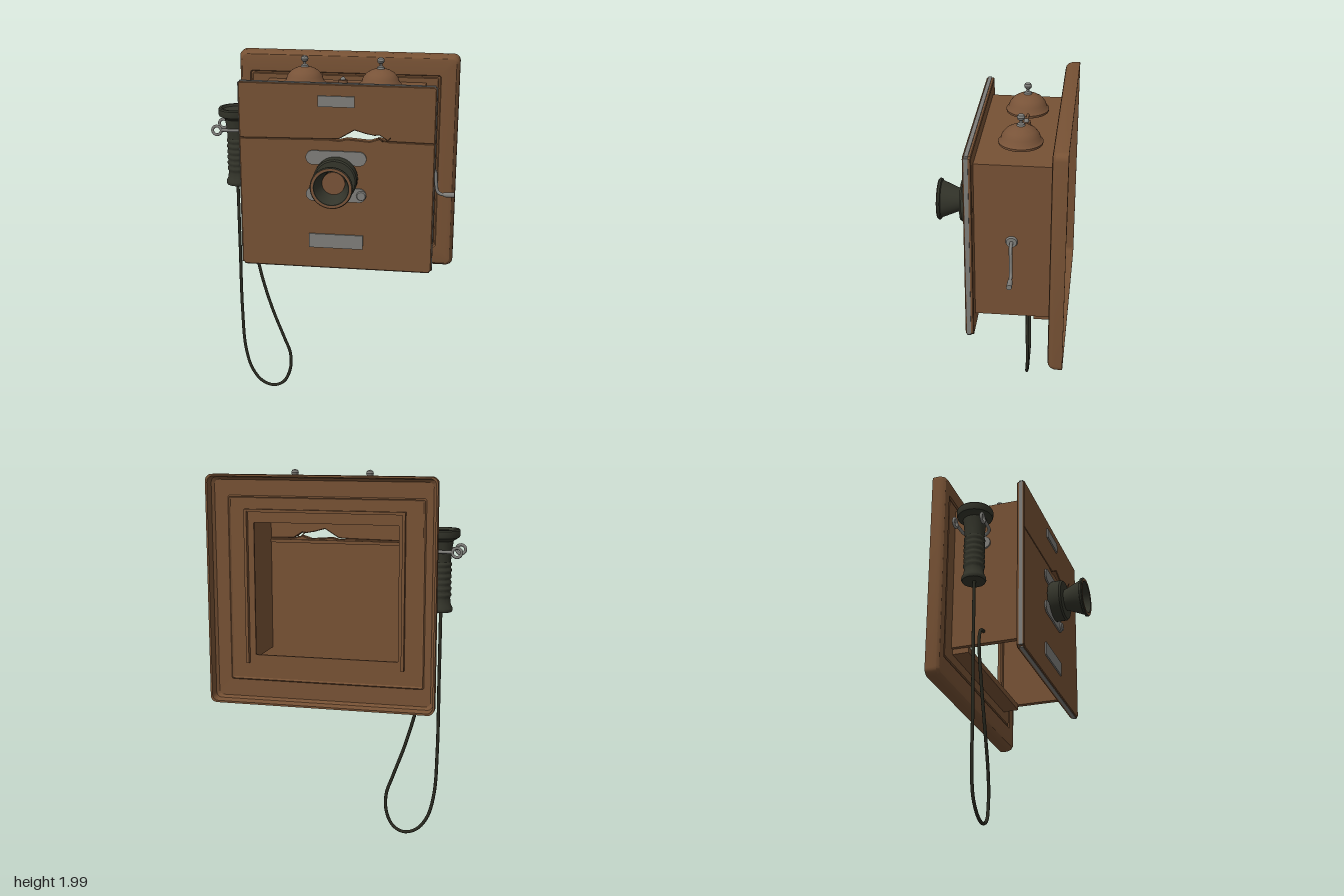
import * as THREE from 'three';
import { toCreasedNormals } from 'three/addons/utils/BufferGeometryUtils.js';

const flat = (name, hex) => {
  const m = new THREE.MeshStandardMaterial({ color: hex, side: THREE.DoubleSide });
  m.name = name;
  return m;
};

export function createModel() {
  const wood = flat('brown wood', 0x765134);
  const bellBrown = flat('bell brown', 0x785338);
  const metal = flat('grey metal', 0x7e7d79);
  const ebonite = flat('dark ebonite', 0x33342a);
  const cordMat = flat('cord black', 0x2a2a20);

  const model = new THREE.Group();
  const V = (x, y, z) => new THREE.Vector3(x, y, z);

  // ---- helpers ----
  const add = (name, geo, mat, x = 0, y = 0, z = 0, parent = model) => {
    const mesh = new THREE.Mesh(geo, mat);
    mesh.name = name;
    mesh.position.set(x, y, z);
    parent.add(mesh);
    return mesh;
  };
  // box given by its min and max corners
  const block = (name, mat, x0, x1, y0, y1, z0, z1) =>
    add(name, new THREE.BoxGeometry(x1 - x0, y1 - y0, z1 - z0), mat,
      (x0 + x1) / 2, (y0 + y1) / 2, (z0 + z1) / 2);
  const lathe = (pts, seg = 36) => toCreasedNormals(
    new THREE.LatheGeometry(pts.map(p => new THREE.Vector2(p[0], p[1])), seg), 0.6);
  const tube = (pts, r, seg = 24, sides = 8) => new THREE.TubeGeometry(
    new THREE.CatmullRomCurve3(pts.map(p => V(...p))), seg, r, sides);
  const slab = (points, depth, bevel) => new THREE.ExtrudeGeometry(
    new THREE.Shape(points.map(p => new THREE.Vector2(p[0], p[1]))), {
      depth: depth - 2 * bevel, bevelEnabled: bevel > 0, bevelThickness: bevel,
      bevelSize: bevel, bevelOffset: -bevel, bevelSegments: 1,
    });

  // ---- backboard: a hollow moulding profile [inset, z] swept round a rounded rectangle ----
  // extra widens the moulding on the right, top and bottom, inside its outer edge
  const sweepFrame = (x0, x1, y0, y1, extra, profile) => {
    const pos = [], index = [], cs = 5;
    const n = 4 * (cs + 1);
    for (const [inset, z] of profile) {
      const r = Math.max(0.035 - inset * 0.35, 0.005);
      const k = THREE.MathUtils.clamp((inset - 0.035) / 0.03, 0, 1);
      const left = x0 + inset, right = x1 - inset - k * extra.right;
      const bottom = y0 + inset + k * extra.bottom, top = y1 - inset - k * extra.top;
      for (let c = 0; c < 4; c++) {
        const cx = (c === 0 || c === 3) ? right - r : left + r;
        const cy = c < 2 ? top - r : bottom + r;
        for (let j = 0; j <= cs; j++) {
          const a = (c + j / cs) * Math.PI / 2;
          pos.push(cx + r * Math.cos(a), cy + r * Math.sin(a), z);
        }
      }
    }
    const m = profile.length;
    for (let i = 0; i < m; i++) for (let j = 0; j < n; j++) {
      const i2 = (i + 1) % m, j2 = (j + 1) % n;
      const a = i * n + j, b = i * n + j2, c = i2 * n + j2, d = i2 * n + j;
      index.push(a, b, c, a, c, d);
    }
    const g = new THREE.BufferGeometry();
    g.setAttribute('position', new THREE.Float32BufferAttribute(pos, 3));
    g.setIndex(index);
    return toCreasedNormals(g, 0.5);
  };
  add('backboard', sweepFrame(-0.56, 0.658, 0.763, 1.98, { right: 0.035, top: 0.045, bottom: 0.055 }, [
    [0.205, -0.292], [0.08, -0.292], [0.072, -0.298], [0.066, -0.292], [0.03, -0.294],
    [0.016, -0.306], [0.012, -0.325], [0.01, -0.354], [0, -0.354], [0, -0.315],
    [0.006, -0.294], [0.018, -0.281], [0.035, -0.277],
    [0.064, -0.277], [0.068, -0.286], [0.076, -0.286], [0.08, -0.28], [0.205, -0.28],
  ]), wood);
  // raised strips on the back, round the opening
  for (const x of [-0.39, 0.45]) block('backStrip', wood, x, x + 0.015, 0.98, 1.79, -0.318, -0.288);
  block('backStrip', wood, -0.39, 0.465, 1.785, 1.8, -0.312, -0.288);

  // ---- cabinet: open at the back and underneath ----
  block('cabinetTop', wood, -0.39, 0.48, 1.8, 1.83, -0.285, 0.108);
  block('cabinetSide', wood, -0.39, -0.36, 0.98, 1.8, -0.285, 0.108);
  block('cabinetSide', wood, 0.45, 0.48, 0.98, 1.8, -0.285, 0.108);
  block('bottomRail', wood, -0.37, 0.46, 0.95, 0.985, -0.28, -0.19);
  block('doorBackRail', wood, -0.36, 0.45, 1.582, 1.6, 0.098, 0.114);

  // ---- door in two pieces with a split between them ----
  add('doorUpper', slab([[-0.47, 1.602], [0, 1.61], [0.06, 1.613], [0.14, 1.662], [0.2, 1.645],
    [0.245, 1.637], [0.27, 1.64], [0.32, 1.608], [0.558, 1.604], [0.558, 1.89], [0.548, 1.9],
    [-0.46, 1.9], [-0.47, 1.89]], 0.042, 0.004), wood, 0, 0, 0.112);
  add('doorLower', slab([[-0.47, 0.905], [-0.455, 0.89], [0.543, 0.89], [0.558, 0.905],
    [0.558, 1.604], [0.32, 1.608], [0.27, 1.622], [0.22, 1.606], [0.1, 1.615], [0.06, 1.604],
    [0, 1.61], [-0.47, 1.602]], 0.042, 0.004), wood, 0, 0, 0.112);
  // grey strip let into the door's edge
  block('doorEdge', metal, -0.465, 0.553, 1.89, 1.904, 0.122, 0.142);
  block('doorEdge', metal, -0.46, 0.548, 0.887, 0.9, 0.122, 0.142);
  for (const x of [-0.474, 0.552]) block('doorEdge', metal, x, x + 0.01, 0.9, 1.895, 0.122, 0.142);
  // splinters at the split
  for (const s of [-1, 1]) add('splinter', tube([[0.295 + s * 0.005, 1.61, 0.148],
    [0.3 + s * 0.012, 1.616, 0.168], [0.3 + s * 0.03, 1.64, 0.19]], 0.004, 8, 5), wood);

  // ---- metal plates on the door ----
  const stadium = (w, h) => {
    const s = new THREE.Shape(), r = h / 2, l = w / 2 - r;
    s.absarc(l, 0, r, -Math.PI / 2, Math.PI / 2);
    s.absarc(-l, 0, r, Math.PI / 2, Math.PI * 1.5);
    return new THREE.ExtrudeGeometry(s, { depth: 0.009, bevelEnabled: false });
  };
  for (const y of [1.512, 1.312]) add('mouthpiecePlate', stadium(0.32, 0.076), metal, 0.045, y, 0.153);
  block('upperPlate', metal, -0.05, 0.14, 1.783, 1.84, 0.15, 0.158);
  block('lowerPlate', metal, -0.1, 0.19, 1.008, 1.086, 0.15, 0.158);
  const screw = add('plateScrew', new THREE.CylinderGeometry(0.022, 0.027, 0.012, 20), metal, 0.18, 1.312, 0.166);
  screw.rotation.x = Math.PI / 2;

  // ---- mouthpiece, facing forward ----
  const mouth = new THREE.Group();
  mouth.name = 'mouthpiece';
  mouth.position.set(0.047, 1.407, 0);
  mouth.rotation.x = Math.PI / 2;
  model.add(mouth);
  add('mouthpieceHorn', lathe([[0, 0.15], [0.108, 0.153], [0.115, 0.165], [0.115, 0.22],
    [0.108, 0.23], [0.06, 0.232], [0.066, 0.25], [0.1, 0.332], [0.11, 0.336], [0.111, 0.346],
    [0.106, 0.351], [0.09, 0.351], [0.062, 0.265], [0.058, 0.245]]), ebonite, 0, 0, 0, mouth);
  add('mouthpieceDisc', new THREE.CylinderGeometry(0.06, 0.06, 0.006, 32), bellBrown, 0, 0.262, 0, mouth);
  const rim = add('mouthpieceRim', new THREE.RingGeometry(0.094, 0.106, 36), bellBrown, 0, 0.3525, 0, mouth);
  rim.rotation.x = -Math.PI / 2;

  // ---- bells and clapper ----
  for (const x of [-0.16, 0.247]) {
    add('bell', lathe([[0.05, 1.83], [0.05, 1.846], [0.1, 1.84], [0.11, 1.845], [0.112, 1.857],
      [0.1, 1.868], [0.094, 1.89], [0.075, 1.914], [0.05, 1.929], [0.024, 1.937], [0, 1.939]]),
      bellBrown, x, 0, -0.1);
    add('bellKnob', lathe([[0.022, 1.935], [0.018, 1.946], [0.008, 1.952], [0.008, 1.963],
      [0.017, 1.97], [0.02, 1.98], [0.016, 1.992], [0, 1.999]], 20), metal, x, 0, -0.1);
  }
  const rod = add('clapperRod', new THREE.CylinderGeometry(0.008, 0.008, 0.22, 8), bellBrown, 0.045, 1.86, -0.11);
  rod.rotation.z = Math.PI / 2;
  add('clapperPost', new THREE.CylinderGeometry(0.024, 0.026, 0.04, 20), bellBrown, 0.045, 1.85, -0.11);
  add('clapperHead', new THREE.SphereGeometry(0.014, 14, 10), metal, 0.045, 1.872, -0.11);

  // ---- crank on the side ----
  const hub = add('crankHub', new THREE.CylinderGeometry(0.026, 0.031, 0.014, 24), metal, 0.486, 1.415, -0.078);
  hub.rotation.z = -Math.PI / 2;
  add('crankArm', tube([[0.48, 1.415, -0.078], [0.53, 1.413, -0.078], [0.552, 1.395, -0.08],
    [0.56, 1.33, -0.082], [0.568, 1.28, -0.083], [0.585, 1.264, -0.083], [0.62, 1.26, -0.083]],
    0.009, 32), metal);
  const grip = add('crankGrip', new THREE.CylinderGeometry(0.014, 0.013, 0.058, 16), metal, 0.632, 1.26, -0.083);
  grip.rotation.z = -Math.PI / 2;

  // ---- receiver with ribbed handle ----
  const body = [[0, 1.268], [0.062, 1.268], [0.066, 1.276], [0.065, 1.288], [0.056, 1.305], [0.052, 1.335]];
  for (let i = 0; i < 6; i++) {
    const y = 1.345 + i * 0.032;
    body.push([0.052, y], [0.057, y + 0.008], [0.057, y + 0.018], [0.052, y + 0.026]);
  }
  body.push([0.054, 1.56], [0.058, 1.6], [0.064, 1.64], [0.082, 1.652], [0.094, 1.658], [0.098, 1.668],
    [0.098, 1.695], [0.093, 1.702], [0.08, 1.702], [0.074, 1.69], [0, 1.686]);
  add('receiver', lathe(body), ebonite, -0.542, 0, -0.104);

  // ---- forked hook holding the receiver ----
  const hookPlate = add('hookPlate', new THREE.CylinderGeometry(0.036, 0.036, 0.014, 20), metal, -0.395, 1.59, -0.104);
  hookPlate.rotation.z = Math.PI / 2;
  add('hookStem', tube([[-0.38, 1.59, -0.104], [-0.42, 1.59, -0.104], [-0.468, 1.59, -0.104]], 0.009, 8), metal);
  const fork = [];
  for (let i = 0; i <= 12; i++) {
    const a = (i / 12 - 0.5) * Math.PI;
    fork.push([-0.54 + 0.075 * Math.cos(a), 1.59, -0.103 + 0.075 * Math.sin(a)]);
  }
  fork.unshift([-0.612, 1.59, -0.18]);
  fork.push([-0.612, 1.59, -0.026]);
  add('hookFork', tube(fork, 0.009, 40), metal);
  for (const z of [-0.18, -0.026]) add('hookRing', new THREE.TorusGeometry(0.024, 0.008, 8, 24), metal, -0.635, 1.588, z);

  // ---- hanging cord ----
  add('cord', tube([[-0.545, 1.28, -0.1], [-0.543, 0.9, -0.098], [-0.54, 0.5, -0.094],
    [-0.527, 0.25, -0.098], [-0.49, 0.11, -0.102], [-0.43, 0.035, -0.1], [-0.36, 0.014, -0.1],
    [-0.3, 0.045, -0.1], [-0.263, 0.13, -0.106], [-0.262, 0.23, -0.106], [-0.295, 0.33, -0.1],
    [-0.36, 0.51, -0.095], [-0.42, 0.72, -0.095], [-0.452, 0.89, -0.098], [-0.455, 0.98, -0.1],
    [-0.43, 1.04, -0.1], [-0.385, 1.05, -0.1]], 0.009, 140), cordMat);

  return model;
}
